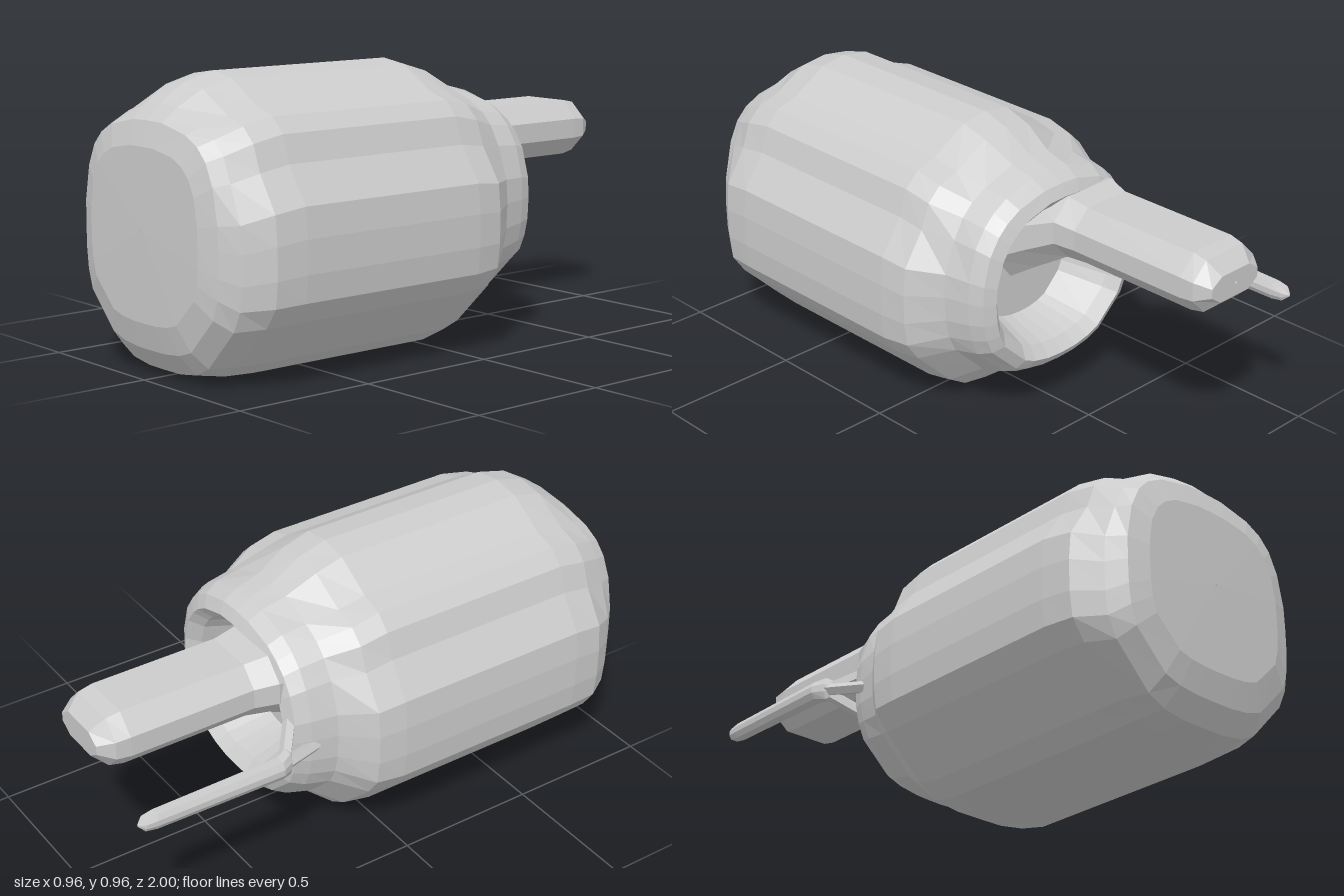
import * as THREE from 'three';

const material = new THREE.MeshStandardMaterial({ color: 0xcccccc, flatShading: true, side: THREE.DoubleSide });

// Skin a list of rings (each an array of [x, y, z]) ordered from back to front
function skin(name, rings) {
  const n = rings[0].length;
  const index = [];
  for (let i = 0; i < rings.length - 1; i++) {
    for (let j = 0; j < n; j++) {
      const a = i * n + j, b = i * n + (j + 1) % n;
      index.push(a, b, b + n, a, b + n, a + n);
    }
  }
  let geometry = new THREE.BufferGeometry();
  geometry.setAttribute('position', new THREE.Float32BufferAttribute(rings.flat(2), 3));
  geometry.setIndex(index);
  geometry = geometry.toNonIndexed();
  geometry.computeVertexNormals();
  const mesh = new THREE.Mesh(geometry, material);
  mesh.name = name;
  return mesh;
}

// Right half of the lobed body outline, bottom to top
const half = [
  [0, 0], [0.1, 0], [0.2, 0.015], [0.27, 0.06], [0.42, 0.21], [0.47, 0.28], [0.48, 0.37], [0.48, 0.48],
  [0.47, 0.58], [0.39, 0.7], [0.36, 0.79], [0.31, 0.84], [0.23, 0.865], [0.1, 0.945], [0, 0.96],
];
const outline = [...half, ...half.slice(1, -1).reverse().map(([x, y]) => [-x, y])];

// Body ring: the outline fitted to a box and blended by k into a superellipse of power p
function bodyRing([z, w, y0, y1, k, p]) {
  return outline.map(([x, y]) => {
    const u = x / 0.48, v = y / 0.48 - 1;
    const a = Math.atan2(v, u), c = Math.cos(a), s = Math.sin(a);
    const r = 1 / Math.pow(Math.abs(c) ** p + Math.abs(s) ** p, 1 / p);
    const px = u + (r * c - u) * k, py = v + (r * s - v) * k;
    return [px * w, (y0 + y1) / 2 + py * (y1 - y0) / 2, z];
  });
}

// Shaft ring: an eight-sided section with chamfered corners
function shaftRing([z, x, y, w, h]) {
  const section = [[1, -0.35], [1, 0.35], [0.6, 1], [-0.6, 1], [-1, 0.35], [-1, -0.35], [-0.6, -1], [0.6, -1]];
  return section.map(([u, v]) => [x + u * w, y + v * h, z]);
}

// Thin tapered strut between two points
function strut(name, from, to, r0, r1) {
  const a = new THREE.Vector3(...from), b = new THREE.Vector3(...to);
  const mesh = new THREE.Mesh(new THREE.CylinderGeometry(r1, r0, a.distanceTo(b), 5), material);
  mesh.position.copy(a).lerp(b, 0.5);
  mesh.quaternion.setFromUnitVectors(new THREE.Vector3(0, 1, 0), b.clone().sub(a).normalize());
  mesh.name = name;
  return mesh;
}

export function createModel() {
  const group = new THREE.Group();
  group.name = 'motorLikeCanister';

  // Body: socket floor, socket wall, rim, stepped neck, barrel, rounded front
  group.add(skin('body', [
    [-0.17, 0.004, 0.476, 0.484, 1, 2.3],
    [-0.17, 0.21, 0.27, 0.69, 1, 2.3],
    [-0.33, 0.27, 0.23, 0.73, 1, 2.3],
    [-0.37, 0.31, 0.19, 0.77, 1, 2.3],
    [-0.35, 0.35, 0.16, 0.81, 1, 2.4],
    [-0.3, 0.37, 0.13, 0.84, 1, 2.4],
    [-0.21, 0.39, 0.1, 0.865, 0.8, 2.3],
    [-0.1, 0.47, 0.02, 0.93, 0.1, 2.2],
    [0, 0.48, 0, 0.96, 0, 2],
    [0.72, 0.48, 0, 0.96, 0, 2],
    [0.83, 0.47, 0.005, 0.93, 0.1, 2.5],
    [0.92, 0.41, 0.02, 0.87, 0.5, 2.8],
    [0.97, 0.36, 0.09, 0.82, 0.9, 3],
    [0.995, 0.29, 0.18, 0.74, 1, 3],
    [1, 0.004, 0.476, 0.484, 1, 3],
  ].map(bodyRing)));

  // Thick shaft, flaring into the socket
  group.add(skin('shaft', [
    [-1, -0.115, 0.65, 0.004, 0.004],
    [-1, -0.11, 0.65, 0.11, 0.045],
    [-0.95, -0.112, 0.65, 0.145, 0.09],
    [-0.9, -0.113, 0.65, 0.15, 0.1],
    [-0.45, -0.113, 0.65, 0.15, 0.1],
    [-0.37, -0.12, 0.655, 0.17, 0.11],
    [-0.26, -0.09, 0.61, 0.18, 0.13],
    [-0.15, -0.06, 0.56, 0.19, 0.15],
  ].map(shaftRing)));

  // Thin side pin
  group.add(skin('pin', [
    [-0.98, -0.425, 0.482, 0.004, 0.004],
    [-0.96, -0.425, 0.482, 0.022, 0.022],
    [-0.92, -0.425, 0.482, 0.026, 0.028],
    [-0.46, -0.427, 0.482, 0.03, 0.032],
    [-0.42, -0.41, 0.482, 0.027, 0.04],
    [-0.4, -0.39, 0.482, 0.01, 0.02],
  ].map(shaftRing)));

  // Forked root tying the pin to the rim
  for (const end of [[-0.3, 0.56, -0.34], [-0.32, 0.4, -0.35], [-0.36, 0.46, -0.28]]) {
    group.add(strut('pinRoot', [-0.42, 0.482, -0.44], end, 0.022, 0.022));
  }
  return group;
}
